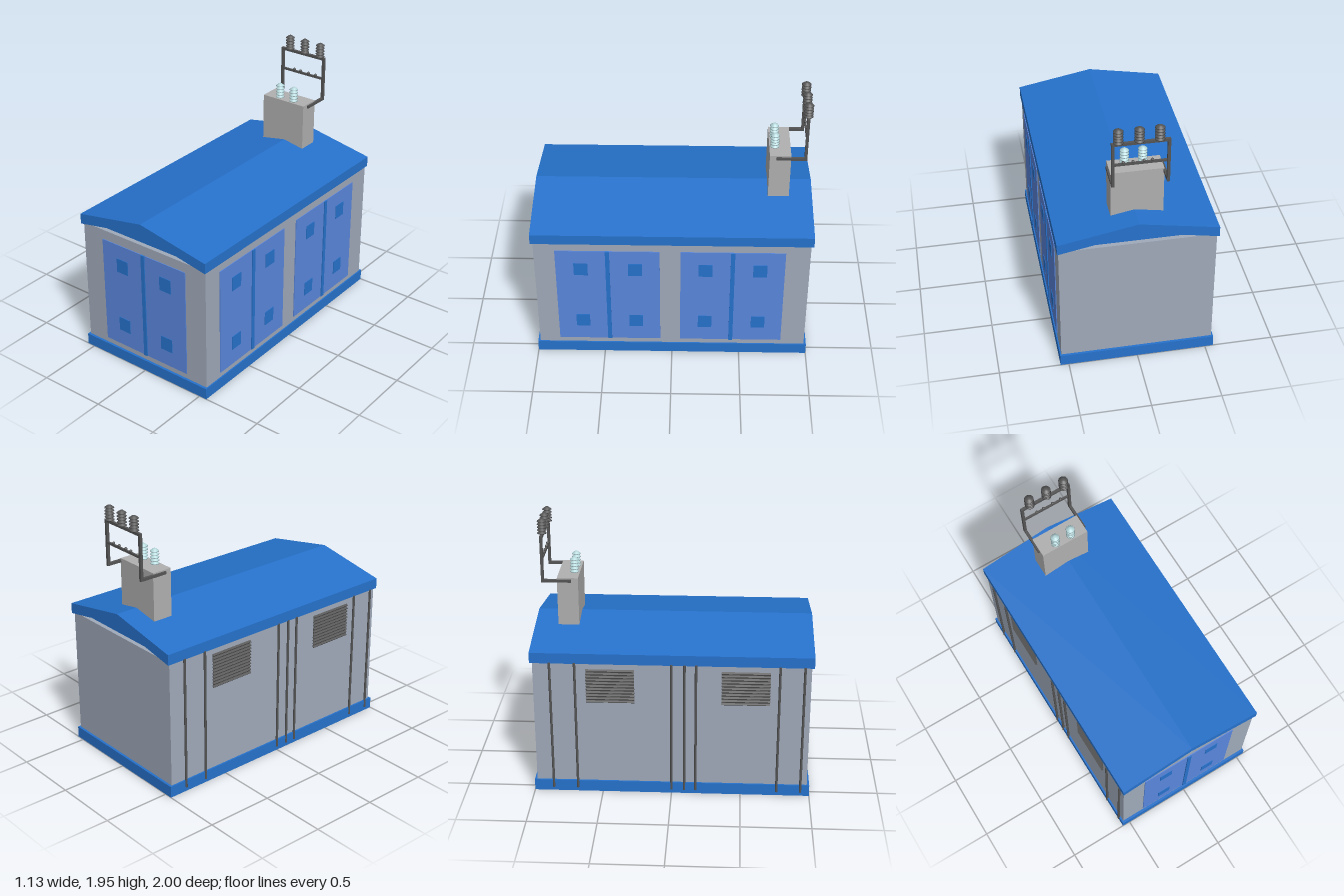
import * as THREE from 'three';

const mat = (color, extra = {}) => new THREE.MeshStandardMaterial({ color, ...extra });

export function createModel() {
  const model = new THREE.Group();
  const blue = mat(0x2672cc), doorBlue = mat(0x5a87dd), wall = mat(0xa0aaba);
  const grey = mat(0xb0b0b0), dark = mat(0x555555), glass = mat(0xb4d6da);

  const add = (name, geometry, material, x = 0, y = 0, z = 0, parent = model) => {
    const mesh = new THREE.Mesh(geometry, material);
    mesh.name = name;
    mesh.position.set(x, y, z);
    parent.add(mesh);
    return mesh;
  };
  // Box given by its minimum and maximum corners
  const box = (name, material, [x0, y0, z0], [x1, y1, z1], parent = model) =>
    add(name, new THREE.BoxGeometry(x1 - x0, y1 - y0, z1 - z0), material,
      (x0 + x1) / 2, (y0 + y1) / 2, (z0 + z1) / 2, parent);
  // Outline in x and y, extruded evenly about z = 0
  const prism = (name, material, points, depth) => {
    const shape = new THREE.Shape(points.map(p => new THREE.Vector2(...p)));
    const geometry = new THREE.ExtrudeGeometry(shape, { depth, bevelEnabled: false });
    return add(name, geometry.translate(0, 0, -depth / 2), material);
  };

  // Building shell
  box('base', blue, [-0.56, 0, -1], [0.56, 0.085, 1]);
  box('walls', wall, [-0.547, 0.08, -0.982], [0.55, 1.03, 0.982]);
  prism('roof', blue, [[-0.56, 1.022], [0, 1.13], [0.56, 1.022],
    [0.56, 1.1], [0, 1.205], [-0.56, 1.1]], 2);
  prism('gableInfill', blue, [[-0.54, 1.024], [0.54, 1.024], [0, 1.135]], 1.9);

  // Double door in its own plane: x across, z outwards
  const doubleDoor = (name, width, panelX) => {
    const door = new THREE.Group();
    door.name = name;
    box('doorLeaves', doorBlue, [-width / 2, 0.127, -0.01], [width / 2, 0.957, 0.006], door);
    box('doorSeam', blue, [-0.015, 0.127, -0.01], [0.015, 0.957, 0.013], door);
    for (const x of panelX) for (const y of [0.305, 0.793])
      box('doorPanel', blue, [x - 0.05, y - 0.054, -0.01], [x + 0.05, y + 0.054, 0.01], door);
    model.add(door);
    return door;
  };
  doubleDoor('frontDoor', 0.746, [-0.193, 0.197]).position.set(0.003, 0, 0.982);
  for (const z of [0.459, -0.434]) {
    const door = doubleDoor('sideDoor', 0.746, [-0.193, 0.197]);
    door.rotation.y = Math.PI / 2;
    door.position.set(0.55, 0, z);
  }

  // Vertical pipes on the right wall
  for (const z of [-0.86, -0.683, 0, 0.092, 0.173, 0.762, 0.935])
    add('wallPipe', new THREE.CylinderGeometry(0.009, 0.009, 1.0, 12), dark, -0.558, 0.528, z);

  // Louvred vents on the right wall
  for (const z of [-0.435, 0.525]) {
    const vent = new THREE.Group();
    vent.name = 'vent';
    vent.position.set(-0.547, 0.85, z);
    box('ventBack', dark, [-0.002, -0.125, -0.17], [0.01, 0.125, 0.17], vent);
    for (let i = 0; i < 11; i++) {
      const slat = add('ventSlat', new THREE.BoxGeometry(0.018, 0.006, 0.345), dark,
        -0.005, -0.12 + i * 0.024, 0, vent);
      slat.rotation.z = 0.6;
    }
    model.add(vent);
  }

  // Roof housing
  box('roofHousing', grey, [-0.2, 1.1, -0.833], [0.167, 1.525, -0.682]);

  // Stacked conical sheds under a small rounded cap
  const insulatorGeometry = (radius, height, sheds) => {
    const profile = [[0, 0]];
    const step = height / (sheds + 0.15);
    for (let i = 0; i < sheds; i++) {
      const y = i * step;
      profile.push([radius * 0.45, y], [radius * 0.45, y + step * 0.25],
        [radius, y + step * 0.3], [radius * 0.9, y + step * 0.48], [radius * 0.45, y + step]);
    }
    profile.push([radius * 0.3, height], [0, height]);
    return new THREE.LatheGeometry(profile.map(p => new THREE.Vector2(...p)), 20);
  };
  const lowInsulator = insulatorGeometry(0.032, 0.117, 5);
  for (const x of [-0.074, 0.051]) add('housingInsulator', lowInsulator, glass, x, 1.523, -0.72);

  // Cable frame behind the housing
  for (const x of [-0.203, 0.17]) {
    box('frameArm', dark, [x - 0.01, 1.495, -0.944], [x + 0.01, 1.515, -0.73]);
    box('framePost', dark, [x - 0.01, 1.495, -0.944], [x + 0.01, 1.835, -0.924]);
  }
  box('frameTopBar', dark, [-0.213, 1.817, -0.944], [0.18, 1.837, -0.924]);
  box('frameMiddleBar', dark, [-0.203, 1.658, -0.941], [0.17, 1.674, -0.927]);
  const topInsulator = insulatorGeometry(0.034, 0.113, 5);
  for (const x of [-0.14, -0.005, 0.134]) add('frameInsulator', topInsulator, dark, x, 1.833, -0.934);
  for (const x of [-0.094, -0.038, 0.036, 0.1])
    add('barKnob', new THREE.SphereGeometry(0.011, 12, 8), dark, x, 1.68, -0.934);

  return model;
}
